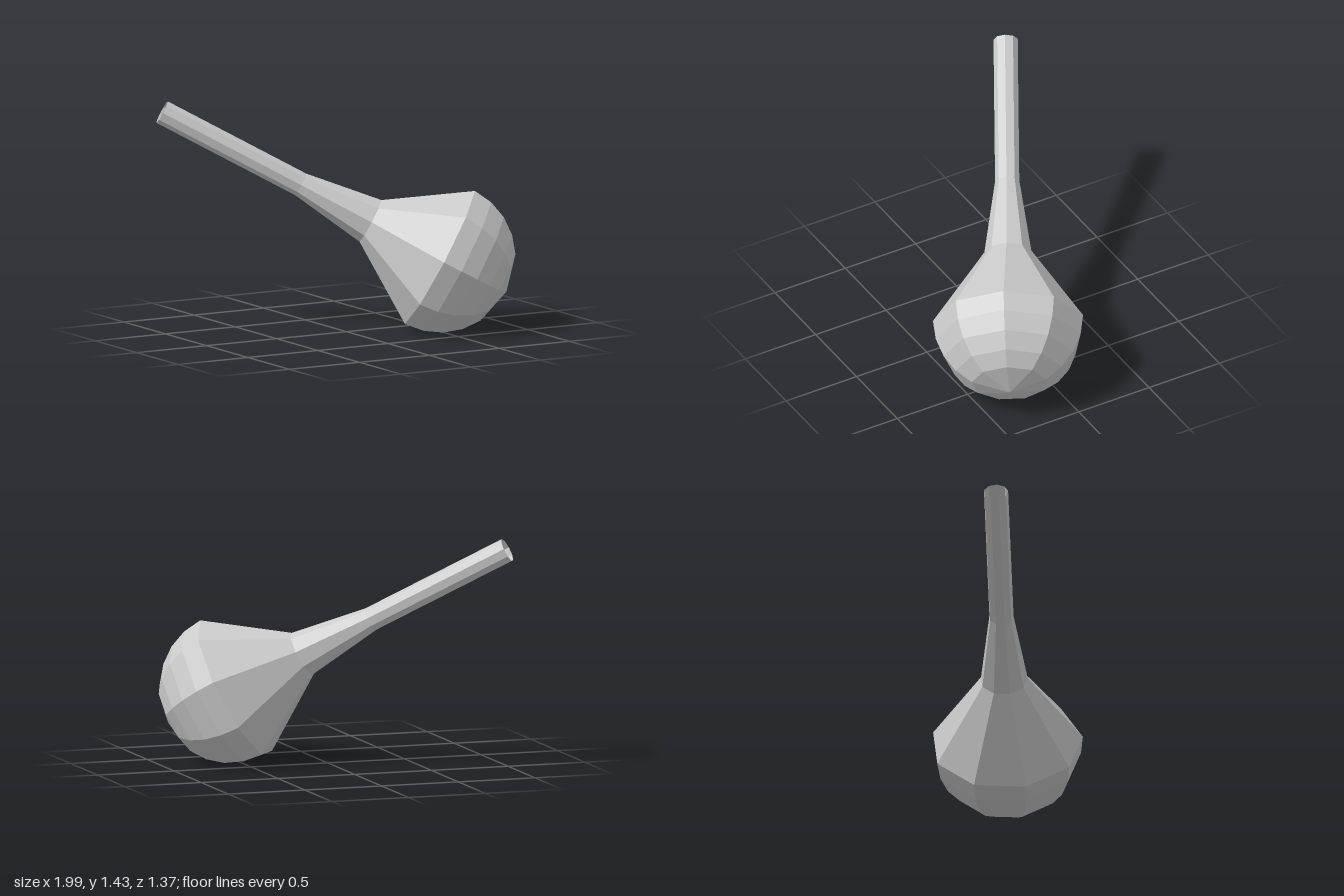
import * as THREE from 'three';

export function createModel() {
  const model = new THREE.Group();
  model.name = 'tiltedFlask';
  const SIDES = 9;
  const R = 0.47; // bulb radius

  // Profile along the axis, from the bulb's pole to the open end of the neck
  const profile = [new THREE.Vector2(0, -R)];
  for (const deg of [60, 45, 30, 15, 0]) {
    const a = THREE.MathUtils.degToRad(deg);
    profile.push(new THREE.Vector2(R * Math.cos(a), -R * Math.sin(a)));
  }
  profile.push(
    new THREE.Vector2(0.147, 0.48), // shoulder
    new THREE.Vector2(0.076, 0.965), // base of the thin neck
    new THREE.Vector2(0.076, 1.93), // open mouth
  );

  const material = new THREE.MeshStandardMaterial({
    color: 0xcccccc, flatShading: true, side: THREE.DoubleSide,
  });
  const flask = new THREE.Mesh(new THREE.LatheGeometry(profile, SIDES), material);
  flask.name = 'bulbAndNeck';

  // Lean the axis back and to the right, with one ridge facing upward
  const axis = new THREE.Vector3(-0.769, 0.47, -0.434).normalize();
  const ridge = new THREE.Vector3(0.171, 0.412, 0.137);
  ridge.addScaledVector(axis, -ridge.dot(axis)).normalize();
  const across = new THREE.Vector3().crossVectors(axis, ridge);
  flask.quaternion.setFromRotationMatrix(new THREE.Matrix4().makeBasis(across, axis, ridge));
  flask.position.set(0.529, 0.463, 0.223);
  model.add(flask);
  return model;
}
